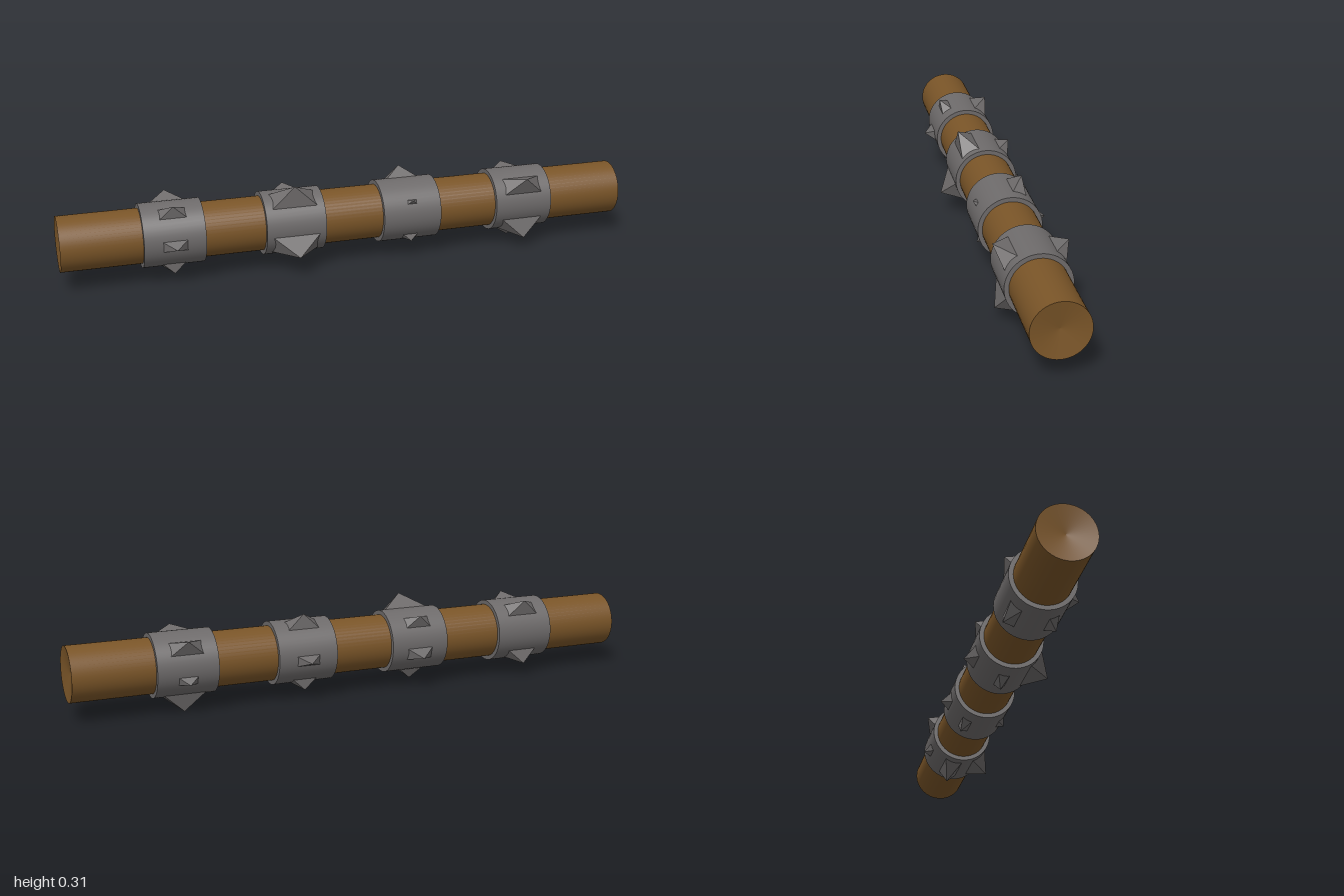
import * as THREE from 'three';

const CENTER_Y = 0.16, CENTER_Z = -0.003;

// Lathe a closed profile of [radius, x] segments, each with its own normals
function turned(name, segments, material) {
  const group = new THREE.Group();
  group.name = name;
  for (const [label, ...pts] of segments) {
    const geo = new THREE.LatheGeometry(pts.map(([r, h]) => new THREE.Vector2(r, h)), 48);
    geo.rotateZ(-Math.PI / 2);
    const mesh = new THREE.Mesh(geo, material);
    mesh.name = label;
    group.add(mesh);
  }
  return group;
}

// Four-sided pyramid, wide along the log, with its tip at the origin
function spikeGeometry() {
  const depth = 0.08, halfAlong = 0.095, halfAround = 0.042;
  const geo = new THREE.ConeGeometry(Math.SQRT2, 1, 4, 1, false, Math.PI / 4).toNonIndexed();
  geo.translate(0, -0.5, 0);
  geo.scale(halfAlong, depth, halfAround);
  geo.computeVertexNormals();
  return geo;
}

export function createModel() {
  const wood = new THREE.MeshStandardMaterial({ color: 0x7a5528 });
  wood.name = 'brown wood';
  const iron = new THREE.MeshStandardMaterial({ color: 0x6e6b6b });
  iron.name = 'grey iron';

  const model = new THREE.Group();
  model.name = 'spikedLog';
  const log = new THREE.Group();
  log.name = 'logAssembly';
  log.position.set(0, CENTER_Y, CENTER_Z);
  model.add(log);

  // Log with slightly dished ends
  const R = 0.094;
  log.add(turned('log', [
    ['leftoverEnd', [0, -0.985], [R, -1]],
    ['bark', [R, -1], [R, 1]],
    ['cutEnd', [R, 1], [0, 0.985]],
  ], wood));

  // Bands: centre x, then spikes as [angle from front in degrees, tip radius]
  const bands = [
    [-0.625, [[-5, 0.142], [56, 0.145], [129, 0.154], [-133, 0.151], [-62, 0.14]]],
    [-0.21, [[61, 0.169], [-30, 0.171], [-96, 0.142], [-164, 0.146], [135, 0.145]]],
    [0.205, [[113, 0.152], [-174, 0.141], [-118, 0.142], [-45, 0.13], [30, 0.122]]],
    [0.622, [[40, 0.162], [-45, 0.166], [-103, 0.164], [140, 0.152], [-160, 0.135]]],
  ];
  const B = 0.109, W = 0.104;
  const spike = spikeGeometry();
  for (const [x, spikes] of bands) {
    const band = turned('band', [
      ['bandSide', [R - 0.004, -W], [B, -W]],
      ['bandRim', [B, -W], [B, W]],
      ['bandSide', [B, W], [R - 0.004, W]],
    ], iron);
    band.position.x = x;
    for (const [deg, r] of spikes) {
      const a = THREE.MathUtils.degToRad(deg);
      const mesh = new THREE.Mesh(spike, iron);
      mesh.name = 'spike';
      mesh.position.set(0, Math.sin(a) * r, Math.cos(a) * r);
      mesh.rotation.x = Math.PI / 2 - a;
      band.add(mesh);
    }
    log.add(band);
  }
  return model;
}
